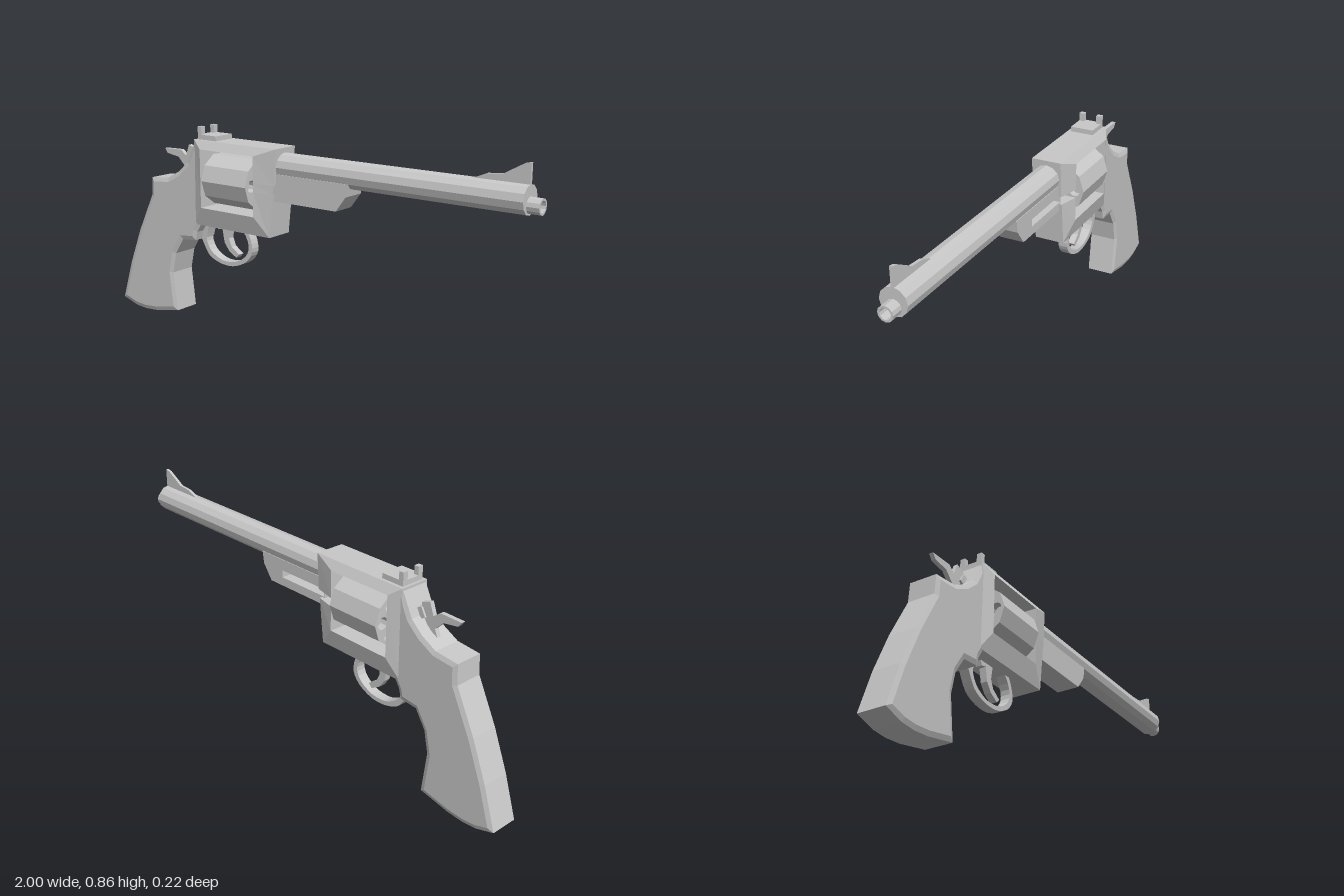
import * as THREE from 'three';

const steel = new THREE.MeshStandardMaterial({ color: 0xc8c8c8 });
steel.name = 'light grey steel';

export function createModel() {
  const model = new THREE.Group();
  model.name = 'revolver';

  const add = (name, geometry) => {
    const flat = geometry.index ? geometry.toNonIndexed() : geometry;
    flat.computeVertexNormals();
    const mesh = new THREE.Mesh(flat, steel);
    mesh.name = name;
    model.add(mesh);
  };
  const vectors = (pts) => pts.map(([x, y]) => new THREE.Vector2(x, y));
  const outline = (pts) => new THREE.Shape(vectors(pts));
  const smooth = (pts) => new THREE.SplineCurve(vectors(pts)).getPoints(24).map((p) => [p.x, p.y]);
  const polygon = (r, sides, cx = 0, cy = 0) => Array.from({ length: sides }, (_, i) => {
    const a = (i / sides) * Math.PI * 2;
    return [cx + r * Math.cos(a), cy + r * Math.sin(a)];
  });

  // side profile given thickness from z0 to z1, with an optional chamfer and holes
  const plate = (name, pts, z0, z1, { inset = 0, drop = 0, holes = [] } = {}) => {
    const shape = outline(pts);
    shape.holes = holes.map(outline);
    const g = new THREE.ExtrudeGeometry(shape, {
      depth: z1 - z0 - 2 * drop, bevelEnabled: drop > 0, bevelSegments: 1,
      bevelSize: inset, bevelThickness: drop, bevelOffset: -inset,
    });
    add(name, g.translate(0, 0, z0 + drop));
  };
  // polygonal bar along x, with optional holes through it
  const bar = (name, x0, x1, y, r, sides, holes = []) => {
    const shape = outline(polygon(r, sides));
    shape.holes = holes.map(outline);
    const g = new THREE.ExtrudeGeometry(shape, { depth: x1 - x0, bevelEnabled: false });
    add(name, g.rotateY(Math.PI / 2).translate(x0, y, 0));
  };
  const box = (name, x0, x1, y0, y1, z0, z1) => add(name,
    new THREE.BoxGeometry(x1 - x0, y1 - y0, z1 - z0)
      .translate((x0 + x1) / 2, (y0 + y1) / 2, (z0 + z1) / 2));

  // frame ring: pairs of outer and inner points, z = [outer back, inner back, inner front, outer front]
  const ring = (name, pairs, z, closed) => {
    const sections = pairs.map(([ox, oy, ix, iy]) =>
      [[ox, oy, z[3]], [ix, iy, z[2]], [ix, iy, z[1]], [ox, oy, z[0]]]);
    const pos = [];
    const quad = (a, b, c, d) => pos.push(...a, ...b, ...c, ...a, ...c, ...d);
    const n = sections.length;
    for (let i = 0; i < (closed ? n : n - 1); i++) {
      const s = sections[i], t = sections[(i + 1) % n];
      for (let k = 0; k < 4; k++) quad(s[k], t[k], t[(k + 1) % 4], s[(k + 1) % 4]);
    }
    if (!closed) {
      quad(...sections[0]);
      quad(...sections[n - 1].slice().reverse());
    }
    const g = new THREE.BufferGeometry();
    g.setAttribute('position', new THREE.Float32BufferAttribute(pos, 3));
    add(name, g);
  };

  // frame around the cylinder window; the right half is notched for the ejector rod
  const framePairs = [
    [-0.105, 0.655, -0.195, 0.655], [-0.097, 0.80, -0.195, 0.765], [-0.53, 0.80, -0.48, 0.765],
    [-0.535, 0.44, -0.48, 0.52], [-0.13, 0.44, -0.195, 0.52], [-0.111, 0.62, -0.195, 0.62],
  ];
  ring('frameLeft', framePairs, [-0.012, -0.012, 0.083, 0.062], true);
  ring('frameRight', framePairs, [-0.062, -0.083, -0.012, -0.012], false);

  // grip with the neck of the frame
  plate('grip', [
    [-1, 0.03], [-0.92, 0.005], [-0.86, 0], [-0.79, 0.005], [-0.66, 0.03], [-0.68, 0.20],
    [-0.66, 0.29], [-0.615, 0.36], [-0.54, 0.367], [-0.53, 0.405], [-0.505, 0.445],
    [-0.505, 0.795], [-0.525, 0.80], [-0.575, 0.70], [-0.625, 0.655], [-0.69, 0.62],
    [-0.79, 0.61], [-0.795, 0.53], [-0.88, 0.36], [-0.945, 0.20],
  ], -0.064, 0.064, { inset: 0.018, drop: 0.007 });

  // cylinder with six blind chambers at each end, and its rod
  const chambers = Array.from({ length: 6 }, (_, i) => {
    const a = (i / 6) * Math.PI * 2;
    return polygon(0.025, 10, 0.07 * Math.cos(a), 0.07 * Math.sin(a));
  });
  bar('cylinderRear', -0.45, -0.42, 0.64, 0.108, 10, chambers);
  bar('cylinder', -0.42, -0.245, 0.64, 0.108, 10);
  bar('cylinderFront', -0.245, -0.215, 0.64, 0.108, 10, chambers);
  bar('ejectorRod', -0.485, 0.10, 0.64, 0.011, 8);

  // barrel and hollow muzzle
  bar('barrel', -0.12, 0.953, 0.727, 0.0545, 12);
  bar('muzzle', 0.94, 1, 0.709, 0.03, 12, [polygon(0.022, 12)]);

  // lug under the barrel, with a slot on the right for the rod
  const lug = [[-0.125, 0.59], [0.187, 0.59], [0.232, 0.65], [0.24, 0.70], [-0.125, 0.70]];
  const slot = [[-0.12, 0.625], [0.12, 0.625], [0.12, 0.655], [-0.12, 0.655]];
  plate('lugLeft', lug, 0.01, 0.05);
  plate('lugRight', lug, -0.05, 0.01, { holes: [slot] });

  // sights
  plate('frontSight', [
    [0.73, 0.775], [0.953, 0.775], [0.953, 0.855], [0.93, 0.85], [0.85, 0.805], [0.79, 0.80],
  ], -0.006, 0.006);
  box('rearSight', -0.52, -0.42, 0.79, 0.82, -0.049, 0.049);
  for (const s of [-1, 1]) {
    box('rearSightPost', -0.52, -0.50, 0.815, 0.853, s * 0.038 - 0.011, s * 0.038 + 0.011);
  }

  // hammer
  plate('hammer', [
    [-0.755, 0.735], [-0.74, 0.715], [-0.675, 0.705], [-0.64, 0.67], [-0.67, 0.60], [-0.58, 0.60],
    [-0.60, 0.68], [-0.575, 0.715], [-0.575, 0.75], [-0.612, 0.763], [-0.63, 0.715], [-0.66, 0.737],
  ], -0.009, 0.009);
  plate('hammerHead', [[-0.60, 0.70], [-0.56, 0.68], [-0.545, 0.72], [-0.58, 0.735]], -0.017, 0.017);

  // trigger and its guard
  plate('triggerGuard', [
    ...smooth([[-0.54, 0.37], [-0.50, 0.305], [-0.45, 0.28], [-0.40, 0.272], [-0.35, 0.277],
      [-0.29, 0.305], [-0.258, 0.35], [-0.265, 0.405], [-0.295, 0.46]]),
    ...smooth([[-0.325, 0.46], [-0.285, 0.405], [-0.277, 0.36], [-0.30, 0.322], [-0.35, 0.295],
      [-0.40, 0.289], [-0.44, 0.296], [-0.487, 0.323], [-0.51, 0.365], [-0.505, 0.40], [-0.49, 0.45]]),
    [-0.53, 0.45],
  ], -0.02, 0.02);
  plate('trigger', [
    [-0.46, 0.45], [-0.45, 0.42], [-0.425, 0.425], [-0.415, 0.37], [-0.39, 0.335], [-0.35, 0.312],
    [-0.335, 0.328], [-0.375, 0.355], [-0.39, 0.39], [-0.38, 0.45],
  ], -0.014, 0.014);

  return model;
}
